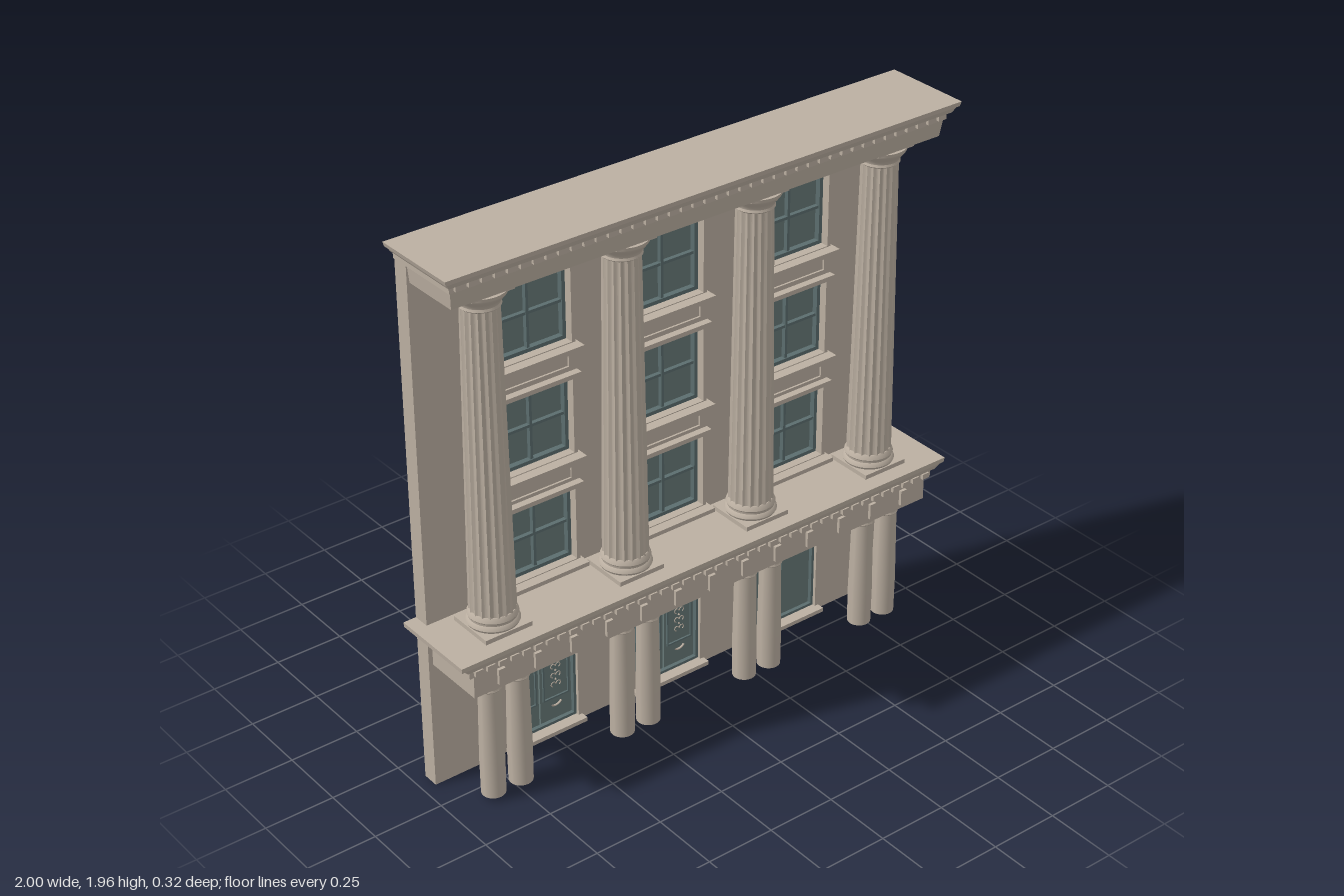
import * as THREE from 'three';
import { toCreasedNormals } from 'three/addons/utils/BufferGeometryUtils.js';

const paint = (name, color) => Object.assign(new THREE.MeshStandardMaterial({ color }), { name });
const stone = paint('stone', 0xbbafa1);
const glass = paint('glass', 0x677877);
const joinery = paint('joinery', 0x5b6d6e);

const BACK = -0.16, FACE = -0.1;
const BAYS = [-0.518, 0, 0.518];
const COLUMNS = [-0.78, -0.26, 0.26, 0.78];

function add(parent, name, geometry, material, x = 0, y = 0, z = 0) {
  const mesh = new THREE.Mesh(geometry, material);
  mesh.name = name;
  mesh.position.set(x, y, z);
  parent.add(mesh);
  return mesh;
}

// Box given by its extents
function block(parent, name, material, x0, x1, y0, y1, z0, z1) {
  return add(parent, name, new THREE.BoxGeometry(x1 - x0, y1 - y0, z1 - z0), material,
    (x0 + x1) / 2, (y0 + y1) / 2, (z0 + z1) / 2);
}

function group(parent, name, x = 0, y = 0, z = 0) {
  const g = new THREE.Group();
  g.name = name;
  g.position.set(x, y, z);
  parent.add(g);
  return g;
}

function rect(path, x0, x1, y0, y1) {
  path.moveTo(x0, y0);
  path.lineTo(x1, y0);
  path.lineTo(x1, y1);
  path.lineTo(x0, y1);
  path.closePath();
  return path;
}

// Rectangular frame with border t, from z0 to z1
function frame(parent, name, material, x0, x1, y0, y1, t, z0, z1) {
  const s = rect(new THREE.Shape(), x0, x1, y0, y1);
  s.holes.push(rect(new THREE.Path(), x0 + t, x1 - t, y0 + t, y1 - t));
  return add(parent, name, new THREE.ExtrudeGeometry(s, { depth: z1 - z0, bevelEnabled: false }), material, 0, 0, z0);
}

// Moulding course: front and ends may slope, the back stays flush
function course(parent, name, y0, y1, half0, half1, front0, front1, back = BACK) {
  const geo = new THREE.BoxGeometry(2, 1, 1);
  const p = geo.attributes.position;
  for (let i = 0; i < p.count; i++) {
    const top = p.getY(i) > 0;
    p.setXYZ(i, p.getX(i) * (top ? half1 : half0), top ? y1 : y0,
      p.getZ(i) > 0 ? (top ? front1 : front0) : back);
  }
  geo.computeVertexNormals();
  add(parent, name, geo, stone);
}

function dentils(parent, y0, y1, half, z0, z1) {
  const n = Math.round(half * 2 / 0.045);
  for (let i = 0; i < n; i++) {
    const x = -half + (i + 0.5) * (half * 2 / n);
    block(parent, 'dentil', stone, x - 0.014, x + 0.014, y0, y1, z0, z1);
  }
}

const lathe = (pts, n = 40) => toCreasedNormals(
  new THREE.LatheGeometry(pts.map(([r, y]) => new THREE.Vector2(r, y)), n), 0.6);

// Tapered shaft with scalloped flutes
function flutedShaft(rTop, rBottom, h) {
  const flutes = 18, steps = 6;
  const geo = new THREE.CylinderGeometry(rTop, rBottom, h, flutes * steps, 4, true);
  const p = geo.attributes.position;
  for (let i = 0; i < p.count; i++) {
    const a = Math.atan2(p.getX(i), p.getZ(i));
    const k = 1 - 0.085 * Math.abs(Math.sin(a * flutes / 2));
    p.setX(i, p.getX(i) * k);
    p.setZ(i, p.getZ(i) * k);
  }
  return toCreasedNormals(geo, 0.5);
}

function windowUnit(parent, x, y0) {
  const w = group(parent, 'window', x, y0);
  const h = 0.266;
  block(w, 'windowPane', glass, -0.14, 0.14, 0, h, -0.148, -0.138);
  frame(w, 'sash', joinery, -0.14, 0.14, 0, h, 0.013, -0.138, -0.118);
  block(w, 'mullion', joinery, -0.005, 0.005, 0.013, h - 0.013, -0.138, -0.122);
  block(w, 'glazingBar', joinery, -0.127, 0.127, h / 2 - 0.005, h / 2 + 0.005, -0.138, -0.123);
  frame(w, 'surround', stone, -0.153, 0.153, -0.013, h + 0.013, 0.013, FACE, -0.088);
  block(w, 'lintel', stone, -0.165, 0.165, h + 0.008, h + 0.024, FACE, -0.075);
  block(w, 'sill', stone, -0.162, 0.162, -0.018, -0.003, FACE, -0.052);
}

function doorway(parent, x, ornate) {
  const d = group(parent, 'doorway', x);
  block(d, 'threshold', stone, -0.155, 0.155, 0, 0.015, FACE, -0.072);
  block(d, 'doorBacking', glass, -0.14, 0.14, 0.015, 0.43, -0.148, -0.138);
  frame(d, 'doorFrame', joinery, -0.14, 0.14, 0.015, 0.43, 0.01, -0.138, -0.112);
  block(d, 'transomBar', joinery, -0.13, 0.13, 0.373, 0.383, -0.138, -0.114);
  frame(d, 'transomFrame', joinery, -0.128, 0.128, 0.385, 0.418, 0.006, -0.138, -0.122);
  for (const s of [-1, 1]) {
    const leaf = group(d, 'doorLeaf', s * 0.066);
    block(leaf, 'leafPanel', glass, -0.063, 0.063, 0.02, 0.372, -0.138, -0.126);
    if (!ornate) continue;
    frame(leaf, 'panelMoulding', joinery, -0.053, 0.053, 0.11, 0.352, 0.006, -0.126, -0.12);
    // Pull handle
    const pull = add(leaf, 'pullHandle', new THREE.TorusGeometry(0.024, 0.004, 6, 12, Math.PI * 0.7), stone, 0, 0.1, -0.12);
    pull.rotation.z = Math.PI * 1.15;
    pull.scale.y = 0.7;
    // Scrollwork running up the panel
    for (let i = 0; i < 5; i++) {
      const y = 0.165 + i * 0.036;
      for (const m of [-1, 1]) {
        const scroll = add(leaf, 'scroll', new THREE.TorusGeometry(0.009, 0.0018, 5, 10, Math.PI * 1.4), stone, m * 0.01, y, -0.123);
        scroll.rotation.z = m > 0 ? -1.2 : 0.1;
      }
      add(leaf, 'scrollBud', new THREE.OctahedronGeometry(0.005), stone, 0, y + 0.018, -0.124);
    }
  }
}

export function createModel() {
  const model = new THREE.Group();
  model.name = 'facade';

  // Wall pierced by doors and windows
  const floors = [0.648, 1.048, 1.446];
  const outline = rect(new THREE.Shape(), -0.953, 0.953, 0, 1.9);
  for (const x of BAYS) {
    outline.holes.push(rect(new THREE.Path(), x - 0.14, x + 0.14, 0.015, 0.43));
    for (const y of floors) outline.holes.push(rect(new THREE.Path(), x - 0.14, x + 0.14, y, y + 0.266));
  }
  add(model, 'wall', new THREE.ExtrudeGeometry(outline, { depth: FACE - BACK, bevelEnabled: false }), stone, 0, 0, BACK);

  BAYS.forEach((x, i) => {
    doorway(model, x, i < 2);
    floors.forEach(y => windowUnit(model, x, y));
    for (const y of [0.98, 1.383]) {
      frame(model, 'spandrelFrame', stone, x - 0.132, x + 0.132, y - 0.026, y + 0.026, 0.007, FACE, -0.086);
      block(model, 'spandrelPanel', stone, x - 0.125, x + 0.125, y - 0.019, y + 0.019, FACE, -0.093);
    }
  });

  // Lower entablature
  const lower = group(model, 'lowerEntablature');
  course(lower, 'frieze', 0.47, 0.56, 0.937, 0.937, 0.13, 0.13, FACE);
  course(lower, 'bedCourse', 0.555, 0.585, 0.957, 0.957, 0.138, 0.138);
  course(lower, 'cyma', 0.585, 0.608, 0.968, 0.988, 0.147, 0.156);
  course(lower, 'crown', 0.608, 0.626, 0.998, 1, 0.16, 0.162);
  dentils(lower, 0.563, 0.583, 0.95, 0.138, 0.15);
  for (let i = -6; i <= 6; i++) {
    const x = i * 0.1395;
    block(lower, 'friezeBlock', stone, x - 0.013, x + 0.013, 0.488, 0.545, 0.13, 0.141);
  }

  // Upper entablature
  const upper = group(model, 'upperEntablature');
  course(upper, 'frieze', 1.832, 1.895, 0.943, 0.95, 0.113, 0.122, FACE);
  course(upper, 'bedCourse', 1.893, 1.918, 0.957, 0.957, 0.128, 0.128);
  course(upper, 'cyma', 1.918, 1.94, 0.966, 0.98, 0.142, 0.152);
  course(upper, 'crown', 1.94, 1.956, 0.985, 0.99, 0.157, 0.16);
  dentils(upper, 1.9, 1.918, 0.95, 0.128, 0.14);

  // Giant fluted columns
  const shaft = flutedShaft(0.062, 0.077, 1.09);
  const base = lathe([[0.084, 0], [0.088, 0.008], [0.084, 0.018], [0.079, 0.022],
    [0.079, 0.028], [0.083, 0.034], [0.079, 0.044], [0.074, 0.05], [0, 0.05]]);
  const capital = lathe([[0.06, 0], [0.067, 0.006], [0.064, 0.014], [0.066, 0.022],
    [0.076, 0.034], [0.085, 0.046], [0.088, 0.052], [0.088, 0.06], [0, 0.06]]);
  // Paired porch columns
  const porch = lathe([[0, 0.015], [0.041, 0.015], [0.042, 0.15], [0.037, 0.425], [0.041, 0.43],
    [0.038, 0.437], [0.04, 0.447], [0.047, 0.458], [0.048, 0.472], [0, 0.472]], 32);
  for (const x of COLUMNS) {
    const c = group(model, 'giantColumn', x, 0, 0.015);
    block(c, 'plinth', stone, -0.088, 0.088, 0.62, 0.642, -0.088, 0.088);
    add(c, 'columnBase', base, stone, 0, 0.642, 0);
    add(c, 'shaft', shaft, stone, 0, 1.225, 0);
    add(c, 'capital', capital, stone, 0, 1.756, 0);
    block(c, 'abacus', stone, -0.076, 0.076, 1.814, 1.834, -0.076, 0.076);
    for (const s of [-1, 1]) add(model, 'porchColumn', porch, stone, x + s * 0.054, 0, 0.057);
  }
  return model;
}
